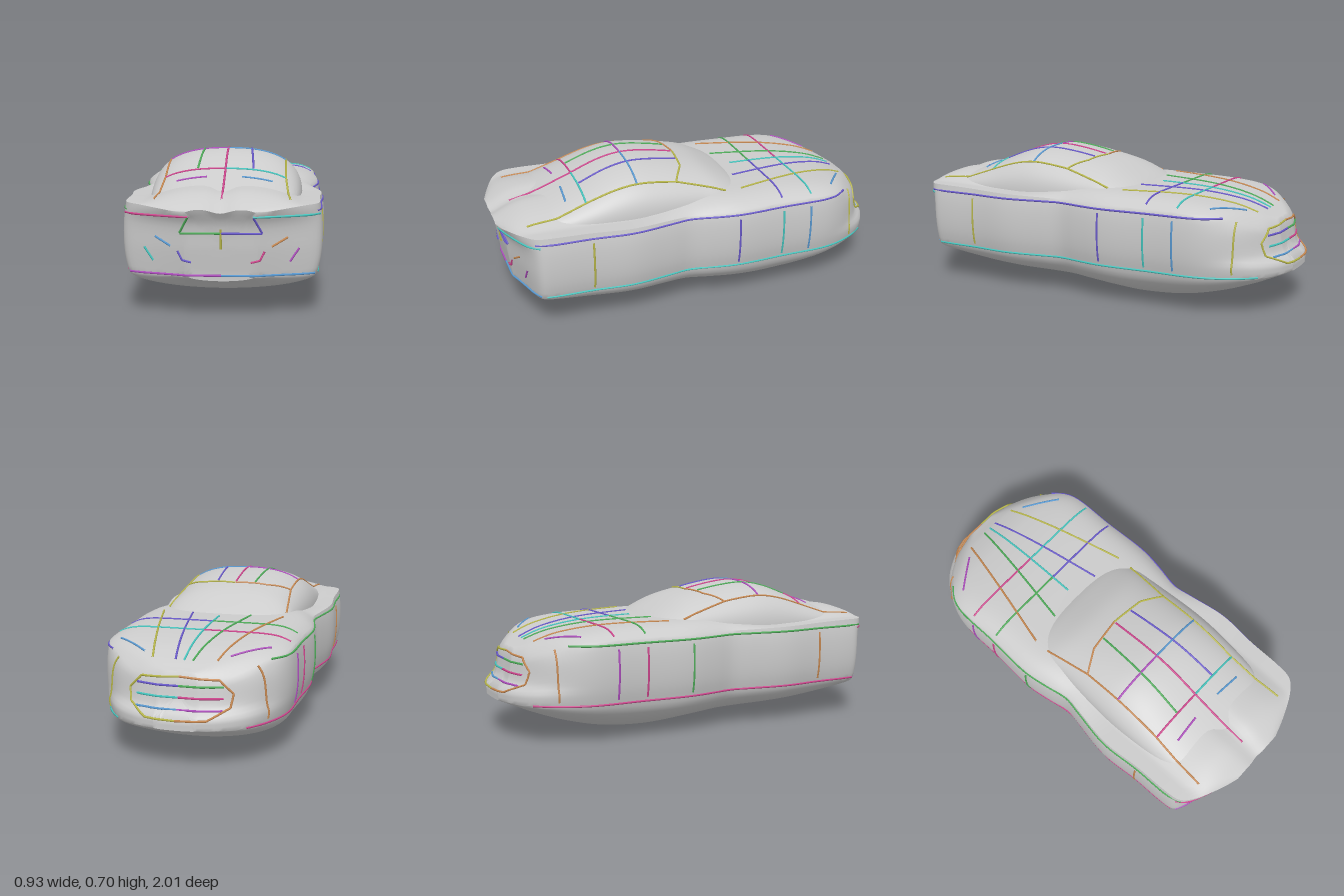
import * as THREE from 'three';
import { toCreasedNormals } from 'three/addons/utils/BufferGeometryUtils.js';

// smooth interpolation through [position, value] pairs
function curve(...k) {
  const slope = i => {
    const a = k[Math.max(i - 1, 0)], b = k[Math.min(i + 1, k.length - 1)];
    return (b[1] - a[1]) / (b[0] - a[0]);
  };
  return z => {
    z = Math.min(Math.max(z, k[0][0]), k[k.length - 1][0]);
    let i = 0;
    while (i < k.length - 2 && z > k[i + 1][0]) i++;
    const h = k[i + 1][0] - k[i][0], t = (z - k[i][0]) / h, t2 = t * t, t3 = t2 * t;
    return (2 * t3 - 3 * t2 + 1) * k[i][1] + (t3 - 2 * t2 + t) * h * slope(i)
      + (3 * t2 - 2 * t3) * k[i + 1][1] + (t3 - t2) * h * slope(i + 1);
  };
}

// lengthwise profiles of the body and cabin
const halfWidth = curve([-1, .1], [-.97, .2], [-.9, .31], [-.8, .385], [-.7, .43], [-.6, .45], [-.4, .452], [-.15, .462],
  [0, .44], [.1, .42], [.2, .435], [.4, .465], [.6, .45], [.8, .444], [.87, .425], [.92, .36], [.96, .27], [1, .16]);
const belly = curve([-1, .185], [-.95, .165], [-.85, .12], [-.7, .065], [-.5, .015], [-.3, 0], [-.1, .017],
  [.2, .04], [.4, .05], [.6, .065], [.8, .105], [.92, .14], [1, .165]);
const shoulder = curve([-1, .38], [-.9, .44], [-.8, .47], [-.5, .49], [0, .485], [.5, .495], [.9, .5], [1, .475]);
const deck = curve([-1, .43], [-.95, .465], [-.85, .495], [-.7, .515], [-.5, .537], [-.2, .545], [.3, .555],
  [.6, .57], [.75, .562], [.85, .552], [.92, .53], [1, .49]);
const roof = curve([-.29, .48], [-.22, .54], [-.15, .582], [-.05, .63], [.05, .657], [.2, .685], [.33, .695],
  [.45, .673], [.6, .615], [.72, .57], [.85, .525]);
const cabinWidth = curve([-.29, .16], [-.22, .29], [-.12, .34], [0, .345], [.3, .36], [.5, .355], [.7, .335], [.85, .3]);
const sideShape = curve([.18, .95], [.25, .985], [.33, 1], [.42, .995], [.5, .97]);
// lean of nose and tail by height
const noseLean = curve([.2, 0], [.24, .004], [.28, .045], [.4, .075], [.46, .108], [.5, .125]);
const tailLean = curve([.19, -.065], [.3, -.05], [.42, -.035], [.48, 0]);

const CABIN_BASE = .47, SILL = .19;
const step = THREE.MathUtils.smoothstep;
const lean = (y, z) => z > 0 ? step(z, .8, 1) * tailLean(y) : step(-z, .6, 1) * noseLean(y);
function unlean(y, z) {
  let n = z;
  for (let i = 0; i < 8; i++) n = THREE.MathUtils.clamp(z - lean(y, n), -1, 1);
  return n;
}
function deckY(x, z) {
  const ax = Math.abs(x), t = Math.min(ax / (.97 * halfWidth(z)), 1), s = shoulder(z);
  // the boot lid is a pair of lobes between flat shoulders
  const lobes = Math.max(0, 1 - (ax / .35) ** 3) * (1 - t ** 6);
  const crown = THREE.MathUtils.lerp(1 - t ** 8, lobes, step(z, -.1, .4));
  const crease = .018 * Math.exp(-((x / .05) ** 2)) * step(z, .5, .75);
  return s + (deck(z) - s) * crown - crease;
}
function topY(x, z) {
  let y = .5;
  for (let i = 0; i < 6; i++) y = deckY(x, unlean(y, z));
  const t = Math.abs(x) / cabinWidth(z);
  if (z < -.29 || z > .85 || t >= 1) return y;
  return Math.max(y, CABIN_BASE + (roof(z) - CABIN_BASE) * (1 - t ** 2.5) ** .4);
}
const sideX = (y, z) => halfWidth(unlean(y, z)) * sideShape(y);
// depth of the nose (dir -1) or tail (dir 1) at a given spot
function endZ(x, y, dir) {
  let z = dir;
  while (Math.abs(z) > .5 && halfWidth(z) * sideShape(y) < Math.abs(x)) z -= dir * .002;
  return z + lean(y, z) + dir * .003;
}

// skin over a list of equal-length sections
function skin(rings, closed) {
  const n = rings[0].length, index = [];
  for (let i = 0; i < rings.length - 1; i++) {
    for (let j = 0; j < (closed ? n : n - 1); j++) {
      const a = i * n + j, b = i * n + (j + 1) % n;
      index.push(a, b, a + n, b, b + n, a + n);
    }
  }
  const g = new THREE.BufferGeometry();
  g.setAttribute('position', new THREE.Float32BufferAttribute(rings.flat(2), 3));
  g.setIndex(index);
  return toCreasedNormals(g, .7);
}

function bodySection(z) {
  const w = halfWidth(z), s = shoulder(z), half = [];
  for (let i = 0; i < 14; i++) { // rounded belly
    const a = i / 14 * Math.PI / 2;
    half.push([.95 * w * Math.sin(a), SILL - (SILL - belly(z)) * Math.cos(a)]);
  }
  for (let i = 0; i <= 14; i++) { // flanks
    const y = SILL + (s - SILL) * i / 14;
    half.push([w * (i === 14 ? .97 : sideShape(y)), y]);
  }
  for (let i = 1; i <= 24; i++) { // deck
    const x = .97 * w * Math.cos(i / 24 * Math.PI / 2);
    half.push([x, deckY(x, z)]);
  }
  const mirror = half.slice(1, -1).reverse().map(([x, y]) => [-x, y]);
  return half.concat(mirror).map(([x, y]) => [x, y, z + lean(y, z)]);
}

export function createModel() {
  const model = new THREE.Group();
  const grey = new THREE.MeshStandardMaterial({ color: 0xcccccc });
  const thin = new THREE.MeshStandardMaterial({ color: 0xcccccc, side: THREE.DoubleSide });
  const add = (name, geometry, material) => {
    const mesh = new THREE.Mesh(geometry, material);
    mesh.name = name;
    model.add(mesh);
  };

  // body, closed at nose and tail
  const rings = [];
  for (let i = 0; i <= 90; i++) rings.push(bodySection(-Math.cos(i / 90 * Math.PI)));
  const cap = (ring, dir) => [.85, .7, .5, .25, 0].map(s => ring.map(([x, y]) => {
    const py = .33 + (y - .33) * s;
    return [x * s, py, dir + lean(py, dir)];
  }));
  add('body', skin([...cap(rings[0], -1).reverse(), ...rings, ...cap(rings[90], 1)], true), grey);

  // cabin
  const cabin = [];
  for (let i = 0; i <= 50; i++) {
    const z = -.29 + 1.14 * i / 50, w = cabinWidth(z), h = roof(z) - CABIN_BASE, arc = [];
    for (let j = 0; j <= 48; j++) {
      const a = j / 48 * Math.PI, c = Math.cos(a);
      arc.push([w * Math.sign(c) * Math.abs(c) ** .8, CABIN_BASE + h * Math.max(0, Math.sin(a)) ** .8, z]);
    }
    cabin.push(arc);
  }
  add('cabin', skin(cabin, false), thin);

  // coloured seam lines
  const colors = [0x46c7c0, 0xd0468f, 0x6a5acd, 0x4fae5a, 0xb9b84a, 0xc98a52, 0x5a9bd4, 0xb04fc0];
  let count = 0;
  const tube = (name, pts) => {
    const path = new THREE.CatmullRomCurve3(pts.map(p => new THREE.Vector3(...p)));
    const material = new THREE.MeshStandardMaterial({ color: colors[count++ % colors.length] });
    add(name, new THREE.TubeGeometry(path, pts.length * 2, .005, 6), material);
  };
  // densify a polyline, lay it on a surface, and mirror it
  const seam = (name, line, place, both = true) => {
    const pts = [line[0]];
    for (let i = 1; i < line.length; i++)
      for (let k = 1; k <= 8; k++) pts.push(line[i].map((v, d) => line[i - 1][d] + (v - line[i - 1][d]) * k / 8));
    const laid = pts.map(p => place(...p));
    tube(name, laid);
    if (both) tube(name, laid.map(([x, y, z]) => [-x, y, z]));
  };
  const onTop = (x, z) => [x, topY(x, z) + .001, z];
  const onSide = (y, z) => [sideX(y, z) + .001, y, z];
  const onTail = (x, y) => [x, y, endZ(x, y, 1)];
  const onNose = (x, y) => [x, y, endZ(x, y, -1)];

  // bonnet, roof and boot
  seam('centreSeam', [[0, -.85], [0, -.27]], onTop, false);
  seam('centreSeam', [[0, .06], [0, .9]], onTop, false);
  seam('bonnetSeam', [[.04, -.85], [.15, -.22]], onTop);
  seam('bonnetSeam', [[.15, -.84], [.31, -.2]], onTop);
  seam('lampSeam', [[.2, -.8], [.36, -.68]], onTop);
  for (const z of [-.54, -.38]) seam('bonnetCrossSeam', [[0, z], [.42, z]], onTop);
  seam('windscreenSeam', [[0, .05], [.17, .07], [.28, .13]], onTop);
  for (const z of [.33, .585]) seam('roofCrossSeam', [[0, z], [.28, z]], onTop);
  seam('roofSeam', [[.1, .07], [.13, .58]], onTop);
  seam('roofRailSeam', [[.31, -.12], [.28, .13], [.28, .58], [.3, .88]], onTop);
  seam('bootSeam', [[.08, .66], [.22, .67]], onTop);

  // flanks
  seam('sillSeam', [[SILL, -.9], [SILL, -.4], [SILL, .2], [SILL, .83]], onSide);
  seam('beltSeam', [[.47, -.75], [.47, -.2], [.47, .3], [.47, .87]], onSide);
  for (const z of [-.8, -.53, -.38, -.14, .6]) seam('doorSeam', [[SILL + .02, z], [.45, z]], onSide);

  // nose
  for (const y of [.27, .32, .37]) seam('grilleSeam', [[0, y], [.2, y]], onNose);
  seam('grilleSurround', [[0, .23], [.14, .235], [.23, .28], [.24, .34], [.18, .4], [0, .41]], onNose);

  // tail
  seam('bumperSeam', [[0, SILL], [.41, SILL]], onTail);
  seam('tailLampSeam', [[.14, .455], [.43, .455]], onTail);
  seam('plateSeam', [[.14, .455], [.18, .38], [0, .38]], onTail);
  seam('plateCentreSeam', [[0, .4], [0, .31]], onTail, false);
  seam('bumperCornerSeam', [[.29, .36], [.22, .32]], onTail);
  seam('bumperCornerSeam', [[.34, .31], [.3, .25]], onTail);
  seam('exhaustSeam', [[.19, .3], [.17, .26], [.13, .25]], onTail);
  return model;
}
